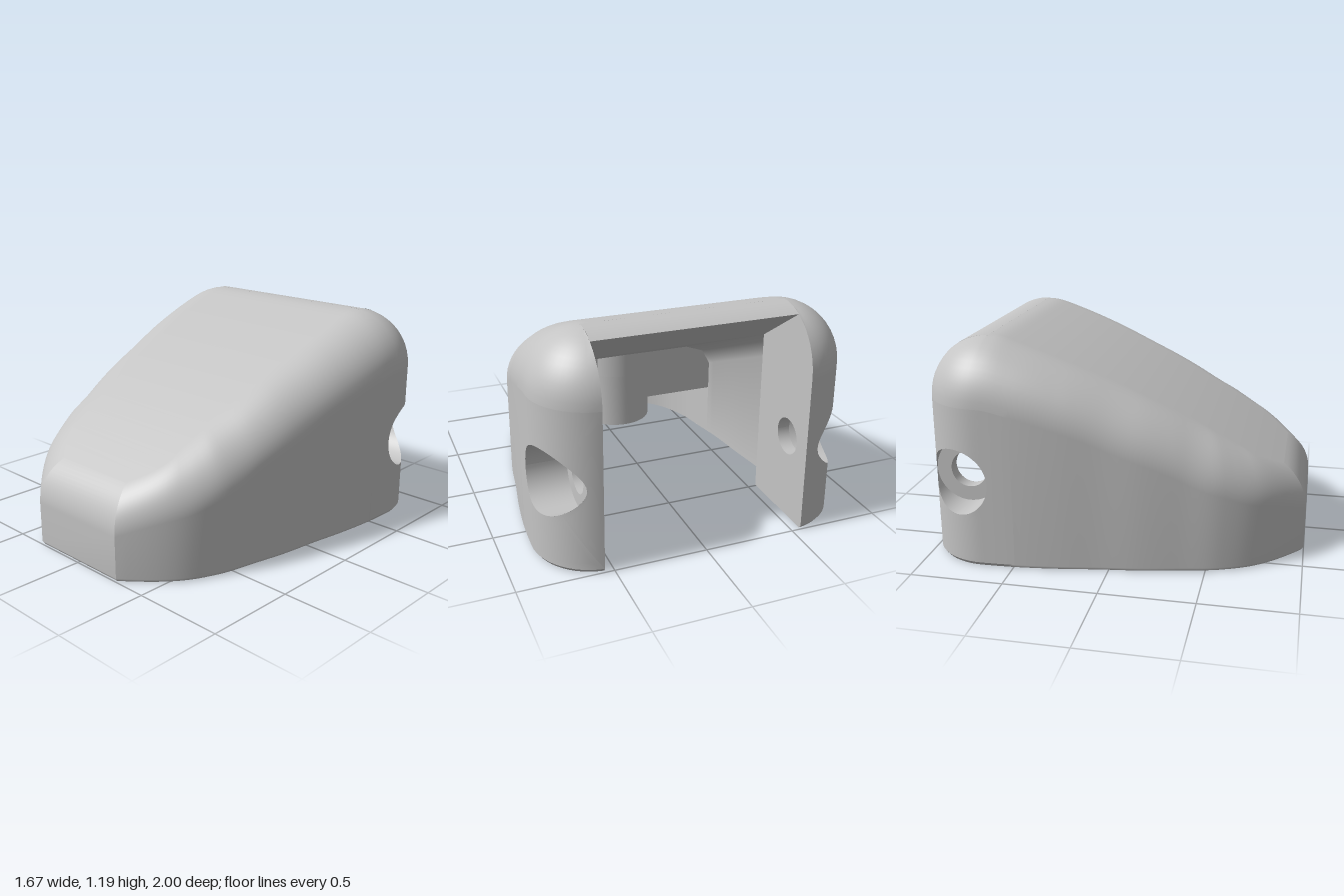
import * as THREE from 'three';
import { toCreasedNormals } from 'three/addons/utils/BufferGeometryUtils.js';

const { lerp, clamp, smoothstep } = THREE.MathUtils;
const range = (n, a, b) => Array.from({ length: n + 1 }, (_, i) => lerp(a, b, i / n));
const mirror = ([x, y, z]) => [-x, y, z];

// Main dimensions
const CORNER = 0.32, CX = 0.515, CZ = -0.68;        // rounded back corners in plan
const SLOT = 0.55, SLOT_Z = -0.83, PILLAR_Z = -0.49; // rear slot and its side pillars
const HOLE_Z = -0.8, HOLE_Y = 0.46, BORE = 0.1, SINK = 0.18, LEDGE = 0.62;
const STEP_Z = 0.26, FRONT_IN = 0.87, FLAT_Y = 0.31;

// Half width of the plan along z, at equal steps from CZ to the front and one beyond
const sideCurve = new THREE.SplineCurve(
  [0.835, 0.825, 0.8, 0.765, 0.735, 0.69, 0.64, 0.53, 0.31, 0].map((x, i) => new THREE.Vector2(i, x)));
const halfWidth = z => sideCurve.getPoint(clamp((z - CZ) / (1 - CZ) * 8 / 9, 0, 1)).y;

// Plan outline by distance s: back corner arc, then the long side
const ARC = CORNER * Math.PI / 2;
const S0 = CORNER * Math.asin((SLOT - CX) / CORNER), S1 = ARC + PILLAR_Z - CZ, S2 = ARC + 1 - CZ;
const plan = s => {
  if (s < ARC) return [CX + CORNER * Math.sin(s / CORNER), CZ - CORNER * Math.cos(s / CORNER)];
  const z = CZ + s - ARC;
  return [halfWidth(z), z];
};
const planAt = z => z < CZ ? CORNER * Math.acos(clamp((CZ - z) / CORNER, -1, 1)) : ARC + z - CZ;

// Roof height along z: flat, a short arc, then a bending slope
const roof = z => {
  const u = clamp(z - CZ, 0, 0.1), t = Math.max(0, z - CZ - 0.1);
  return 1.19 - CORNER + Math.sqrt(CORNER * CORNER - u * u) - 0.33 * t - 0.1 * t * t;
};
const radius = z => lerp(CORNER, 0.28, clamp((z + 0.6) / 1.6, 0, 1));

// Outward direction of the plan, turning to the mitre at the flat front
function outward(s) {
  const e = 0.004, a = plan(Math.max(S0, s - e)), b = plan(Math.min(S2, s + e));
  let nx = b[1] - a[1], nz = a[0] - b[0];
  const l = Math.hypot(nx, nz);
  nx /= l; nz /= l;
  const w = smoothstep(plan(s)[1], 0.72, 1);
  return [lerp(nx, 0.43, w), lerp(nz, 1, w)];
}
function inset(s, d) {
  const [x, z] = plan(s), [nx, nz] = outward(s);
  const p = [x - nx * d, z - nz * d];
  if (p[1] < CZ - 0.01) p[0] = Math.max(p[0], SLOT);
  return p;
}

// Rounded edge at s: an arc from the wall that ends tangent to the roof
function roundedEdge(s, n) {
  const z = plan(s)[1], r = radius(z), nz = outward(s)[1];
  const fall = (roof(z - 0.11) - roof(z - 0.1)) / 0.01 * nz;
  const tilt = Math.max(0, Math.atan(fall)), end = Math.PI / 2 - tilt;
  const base = roof(inset(s, r * (1 - Math.cos(end)))[1]) - r * Math.sin(end);
  return range(n, 0, end).map(t => {
    const [x, ez] = inset(s, r * (1 - Math.cos(t)));
    return [x, base + r * Math.sin(t), ez];
  });
}
const wallTop = s => roundedEdge(s, 1)[0][1];

// Surface through rows of points
function grid(rows, skip = () => false) {
  const n = rows[0].length, index = [];
  for (let i = 0; i < rows.length - 1; i++) for (let j = 0; j < n - 1; j++) {
    if (skip(i, j)) continue;
    const a = i * n + j, b = a + n;
    index.push(a, b, a + 1, b, b + 1, a + 1);
  }
  const g = new THREE.BufferGeometry();
  g.setAttribute('position', new THREE.Float32BufferAttribute(rows.flat(2), 3));
  g.setIndex(index);
  g.computeVertexNormals();
  return g;
}

export function createModel() {
  const model = new THREE.Group();
  model.name = 'hollowWedgeCover';
  const grey = new THREE.MeshStandardMaterial({ color: 0xc4c4c4, side: THREE.DoubleSide });
  grey.name = 'plainGrey';
  const add = (name, geometry, parent = model) => {
    const m = new THREE.Mesh(geometry, grey);
    m.name = name;
    parent.add(m);
    return m;
  };

  // Outer skin: bottom bevel, wall, rounded edge, roof across to the other side
  const backN = 18;
  const stations = [...range(backN, S0, S1), ...range(44, S1, S2).slice(1)];
  const halves = stations.map(s => {
    const [x, z] = plan(s), [bx, bz] = inset(s, 0.015);
    return [[bx, 0, bz], [x, 0.02, z], ...roundedEdge(s, 12)];
  });
  const full = halves.map(h => [...h, ...[...h].reverse().map(mirror)]);
  const last = full[0].length - 3;
  add('outerShell', grid(full, (i, j) => i < backN && (j === 1 || j === last)));
  const front = halves[halves.length - 1];
  add('frontFace', grid([front, front.map(mirror)]));

  // Rounded rear edge of the roof, cut at the slot
  const t0 = Math.acos((CZ - SLOT_Z) / CORNER);
  const rearEdge = range(10, t0, Math.PI / 2).map(t =>
    [SLOT, 1.19 - CORNER * (1 - Math.sin(t)), CZ - CORNER * Math.cos(t)]);
  add('roofRearEdge', grid([rearEdge, rearEdge.map(mirror)]));

  // Cavity: sloping ceiling with bevelled sides, stepping down to a flat one in front
  const innerX = z => halfWidth(z) - lerp(0.15, 0.1, (z - PILLAR_Z) / (FRONT_IN - PILLAR_Z))
    * Math.hypot(1, (halfWidth(z) - halfWidth(z - 0.01)) / 0.01);
  const rearPart = range(16, PILLAR_Z, STEP_Z).map(z => {
    const k = (z - PILLAR_Z) / (STEP_Z - PILLAR_Z), x = innerX(z), y = lerp(0.93, 0.61, k);
    return [[x - lerp(0.12, 0.16, k), y, z], [x - 0.05, y - 0.04, z], [x, y - 0.13, z], [x, 0, z]];
  });
  const frontPart = range(16, STEP_Z, FRONT_IN).map(z => [innerX(z), FLAT_Y, z]);
  const slotPart = [rearEdge[0], [SLOT, 0.93, PILLAR_Z]];
  const down = p => [p[0], 0, p[2]];
  const across = pts => grid(pts.map(p => [p, mirror(p)]));
  add('slotCeiling', across(slotPart));
  add('rearCeiling', across(rearPart.map(p => p[0])));
  add('ceilingStep', across([...rearPart[16].slice(0, 3), frontPart[0]]));
  add('frontCeiling', across(frontPart));
  add('innerFrontWall', across([frontPart[16], down(frontPart[16])]));
  const rimFront = [front[0], down(frontPart[16])];
  add('frontRim', grid([rimFront, rimFront.map(mirror)]));

  // Parts repeated on both sides
  const sides = [1, -1].map(k => {
    const g = new THREE.Group();
    g.name = k > 0 ? 'leftSide' : 'rightSide';
    g.scale.x = k;
    model.add(g);
    return g;
  });
  const both = (name, geometry) => sides.forEach(g => add(name, geometry, g));

  both('innerWallRear', toCreasedNormals(grid(rearPart), 0.8));
  both('innerWallFront', grid(frontPart.map(p => [p, down(p)])));
  both('pillarFrontFace', grid(rearPart[0].map(p => [[SLOT, p[1], PILLAR_Z], p])));
  both('pillarBottom', grid(halves.slice(0, backN + 1).map(h =>
    [h[0], [SLOT, 0, Math.min(h[0][2], PILLAR_Z)]])));
  both('sideRim', grid(halves.slice(backN).map((h, i, a) => {
    const z = lerp(PILLAR_Z, FRONT_IN, i / (a.length - 1));
    return [h[0], [innerX(z), 0, z]];
  })));

  // Pillar inner face with the screw bore
  const rim = halves[0].slice(2).filter(p => p[2] < SLOT_Z).reverse();
  const face = new THREE.Shape([[PILLAR_Z, 0], [PILLAR_Z, 0.93], [SLOT_Z, rearEdge[0][1]],
    ...rim.map(p => [p[2], p[1]]), [-0.998, 0.02], [-0.985, 0]].map(p => new THREE.Vector2(...p)));
  face.holes.push(new THREE.Path().absarc(HOLE_Z, HOLE_Y, BORE, 0, Math.PI * 2, true));
  const faceGeo = new THREE.ShapeGeometry(face, 24);
  faceGeo.rotateY(-Math.PI / 2).translate(SLOT, 0, 0);
  both('pillarInnerFace', faceGeo);

  // Outer pillar wall, fanned around the countersink
  const bottom = stations.slice(0, backN + 1);
  const perimeter = [
    ...bottom.map(s => [s, 0.02]),
    ...range(16, 0.02, wallTop(S1)).slice(1).map(y => [S1, y]),
    ...[...bottom].reverse().slice(1).map(s => [s, wallTop(s)]),
    ...range(16, wallTop(S0), 0.02).slice(1).map(y => [S0, y])];
  const sc = planAt(HOLE_Z);
  const ring = (a, r) => [HOLE_Z + r * Math.cos(a), HOLE_Y + r * Math.sin(a)];
  both('pillarOuterWall', grid(perimeter.map(([s, y]) => {
    const [hz, hy] = ring(Math.atan2(y - HOLE_Y, s - sc), SINK), hs = planAt(hz);
    return range(8, 0, 1).map(t => {
      const [x, z] = plan(lerp(hs, s, t));
      return [x, lerp(hy, y, t), z];
    });
  })));

  // Countersink wall, its ledge, and the bore
  const turn = range(64, 0, Math.PI * 2);
  const at = (x, a, r) => { const [z, y] = ring(a, r); return [x, y, z]; };
  both('countersinkWall', grid(turn.map(a =>
    [at(LEDGE, a, SINK), at(plan(planAt(ring(a, SINK)[0]))[0], a, SINK)])));
  both('countersinkLedge', grid(turn.map(a => [at(LEDGE, a, BORE), at(LEDGE, a, SINK)])));
  both('screwBore', grid(turn.map(a => [at(SLOT, a, BORE), at(LEDGE, a, BORE)])));

  // Hollow boss hanging from the ceiling
  const boss = new THREE.LatheGeometry([[0, 0.45], [0.14, 0.45], [0.14, 0.18], [0.21, 0.18], [0.21, 0.5]]
    .map(p => new THREE.Vector2(...p)), 48);
  add('boss', toCreasedNormals(boss, 0.6)).position.z = 0.4;
  const bossBack = new THREE.CylinderGeometry(0.21, 0.21, 0.15, 24, 1, true, Math.PI / 2, Math.PI);
  add('bossBack', bossBack).position.set(0, 0.575, 0.4);

  return model;
}
